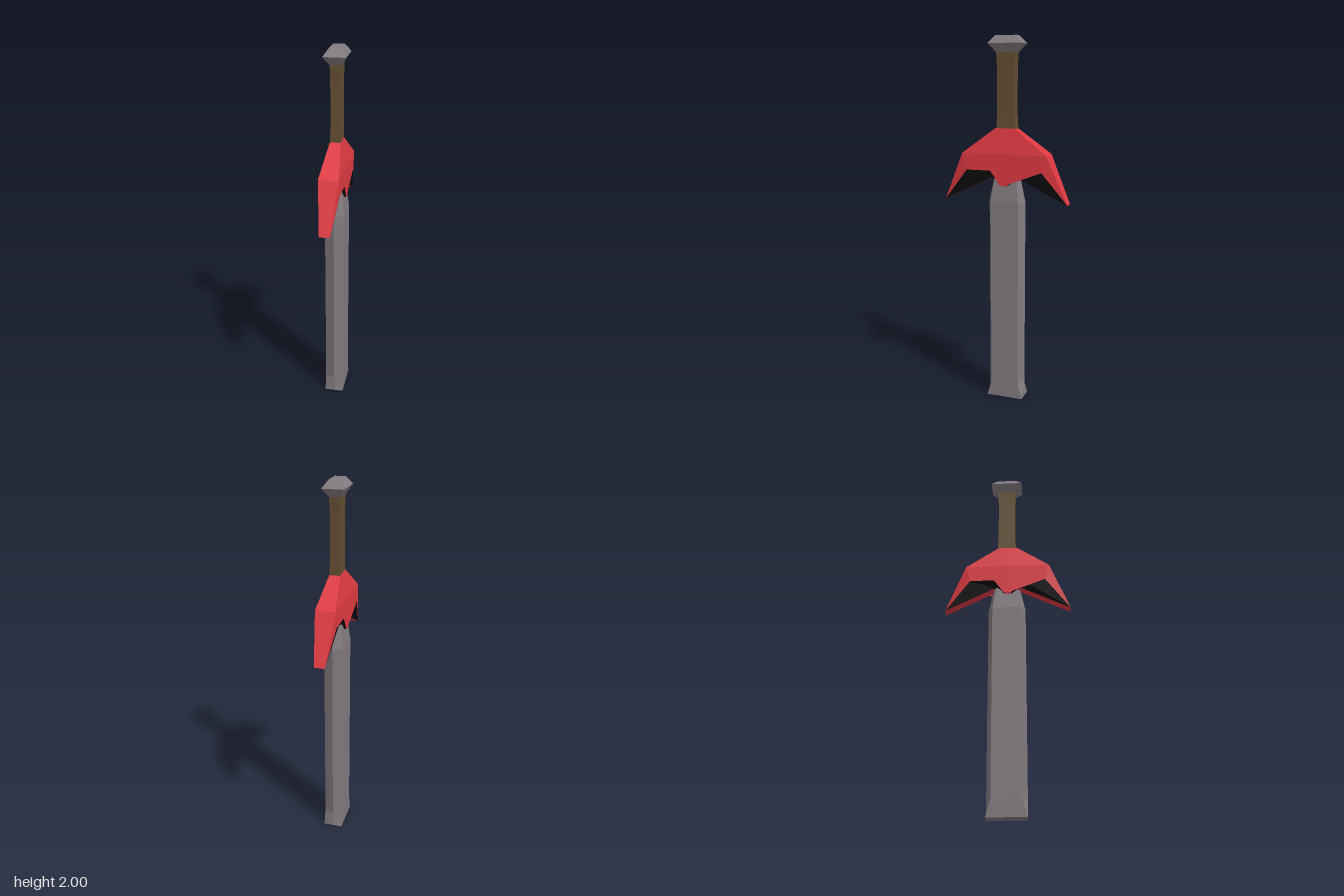
import * as THREE from 'three';

const flat = (name, color) => {
  const m = new THREE.MeshStandardMaterial({ color });
  m.name = name;
  return m;
};

// Flat-faced mesh from a list of convex polygons (each a list of [x, y, z]).
function polyMesh(name, polygons, material) {
  const pos = [];
  for (const p of polygons)
    for (let i = 1; i < p.length - 1; i++) pos.push(...p[0], ...p[i], ...p[i + 1]);
  const g = new THREE.BufferGeometry();
  g.setAttribute('position', new THREE.Float32BufferAttribute(pos, 3));
  g.computeVertexNormals();
  const mesh = new THREE.Mesh(g, material);
  mesh.name = name;
  return mesh;
}

// Skin between rings stacked upward, with both ends capped.
function loft(name, rings, material) {
  const polys = [[...rings[0]].reverse(), rings[rings.length - 1]];
  for (let r = 0; r < rings.length - 1; r++) {
    const a = rings[r], b = rings[r + 1], n = a.length;
    for (let i = 0; i < n; i++) {
      const j = (i + 1) % n;
      polys.push([a[i], a[j], b[j], b[i]]);
    }
  }
  return polyMesh(name, polys, material);
}

const rect = (y, x, z) => [[x, y, z], [x, y, -z], [-x, y, -z], [-x, y, z]];

// Six-sided section: flat sides reaching z = s, edges on the middle line at z = e.
const hex = (y, x, s, e) => [
  [x, y, s], [x, y, -s], [0, y, -e], [-x, y, -s], [-x, y, s], [0, y, e],
];

// Copy quarter polygons into all four quadrants, reversing mirrored ones.
function mirror4(polys) {
  const out = [];
  for (const sx of [1, -1])
    for (const sz of [1, -1])
      for (const p of polys) {
        const q = p.map(([x, y, z]) => [x * sx, y, z * sz]);
        out.push(sx * sz > 0 ? q : q.reverse());
      }
  return out;
}

export function createModel() {
  const steel = flat('steel', 0x827b80);
  const red = flat('red', 0xe03a42);
  const leather = flat('leather', 0x644e32);
  const black = flat('black', 0x0c0c0c);
  const model = new THREE.Group();
  model.name = 'sword';

  // Bevelled blade with a squared-off end, narrowing into the guard
  const blade = loft('blade', [
    hex(0, 0.052, 0.103, 0.103),
    hex(0.09, 0.052, 0.078, 0.103),
    hex(1.13, 0.052, 0.078, 0.103),
    hex(1.26, 0.036, 0.06, 0.075),
  ], steel);

  // Grip, slightly waisted
  const grip = loft('grip', [
    rect(1.51, 0.028, 0.053),
    rect(1.6, 0.026, 0.048),
    rect(1.83, 0.026, 0.048),
    rect(1.925, 0.028, 0.053),
  ], leather);

  // Pommel
  const pommel = loft('pommel', [
    rect(1.915, 0.028, 0.053),
    rect(1.96, 0.057, 0.09),
    rect(2, 0.028, 0.056),
  ], steel);
  for (const part of [blade, grip, pommel]) part.position.z = -0.007;

  // Guard: one quarter, mirrored front to back and side to side
  const mid = ([, y, z]) => [0, y, z];
  const centre = ([x, y]) => [x, y, 0];
  const top = [0.028, 1.525, 0.053];
  const shoulder = [0.053, 1.39, 0.235];
  const tip = [0.028, 1.13, 0.347];
  const archOuter = [0.053, 1.3, 0.21];
  const archInner = [0.053, 1.3, 0.075];
  const tongue = [0.053, 1.22, 0.02];
  const lowInner = [0.028, 1.262, 0.075];
  const lowTongue = [0.028, 1.22, 0.02];
  const strip = (a, b) => [a, mid(a), mid(b), b];

  const guardFaces = [
    [centre(top), top, shoulder, centre(shoulder)],
    [centre(shoulder), shoulder, archOuter, archInner, tongue, centre(tongue)],
    [shoulder, tip, archOuter],
    strip(centre(top), top),
    strip(top, shoulder),
    strip(shoulder, tip),
    strip(tip, lowInner),
    strip(lowInner, lowTongue),
    strip(lowTongue, centre(lowTongue)),
    [centre(tongue), tongue, lowTongue, centre(lowTongue)],
  ];
  const archFaces = [
    [archOuter, tip, lowInner, archInner],
    [archInner, lowInner, lowTongue, tongue],
  ];
  const guard = new THREE.Group();
  guard.name = 'guard';
  guard.position.z = -0.002;
  guard.add(
    polyMesh('guardBody', mirror4(guardFaces), red),
    polyMesh('guardArches', mirror4(archFaces), black),
  );

  model.add(blade, grip, pommel, guard);
  return model;
}
